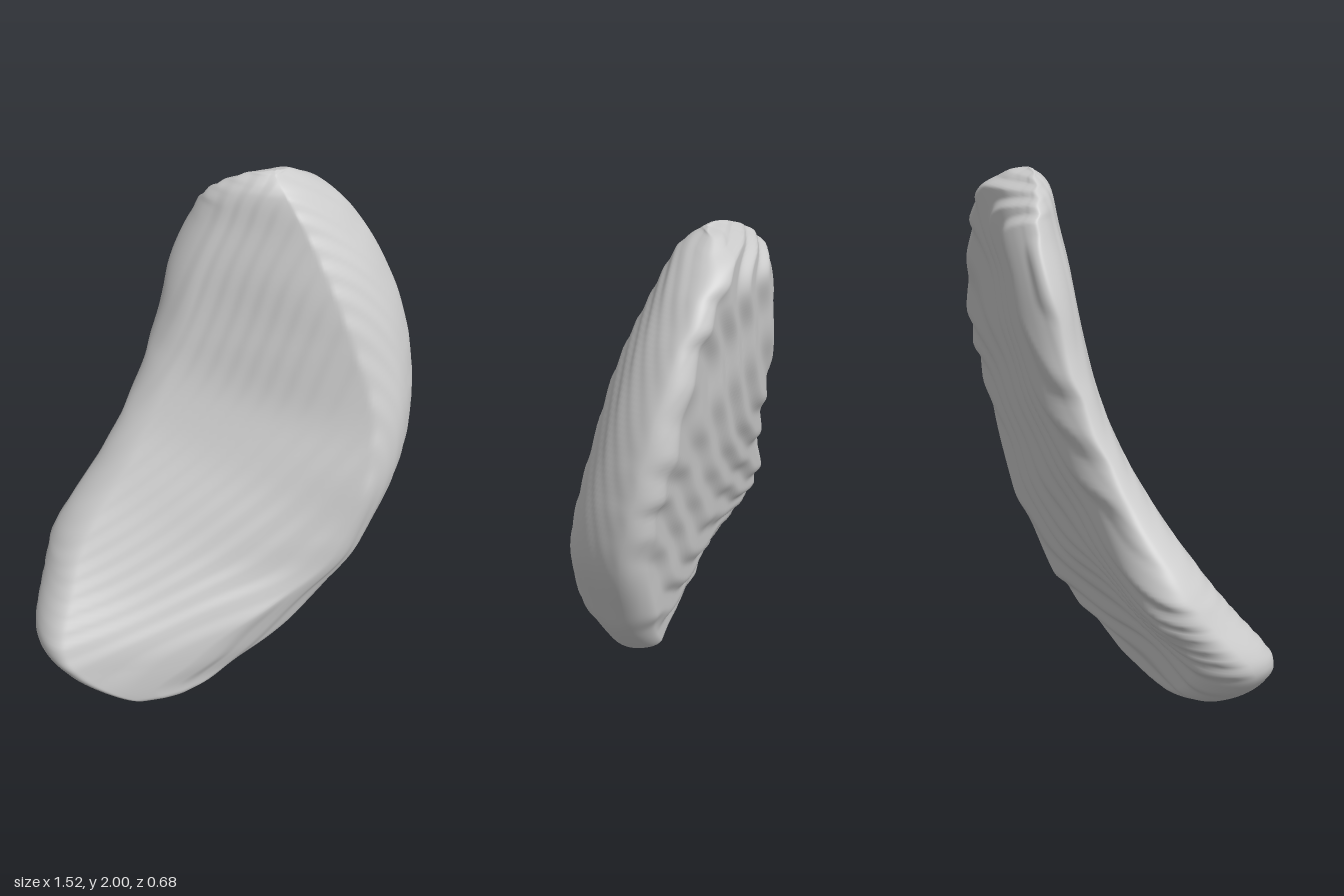
import * as THREE from 'three';
import { mergeVertices } from 'three/addons/utils/BufferGeometryUtils.js';

// Horizontal sections: y, left x, right x, back z at left / right,
// front z at left, crest x, crest z, front z at right
const SECTIONS = [
  [0.00, -0.27, -0.25, 0.13, 0.13, 0.31, -0.26, 0.32, 0.31],
  [0.02, -0.42, -0.13, 0.09, 0.12, 0.32, -0.30, 0.335, 0.29],
  [0.10, -0.58, 0.04, 0.05, 0.08, 0.32, -0.35, 0.337, 0.25],
  [0.20, -0.70, 0.23, 0.02, 0.05, 0.30, -0.22, 0.337, 0.22],
  [0.32, -0.76, 0.38, -0.03, 0.01, 0.25, -0.06, 0.33, 0.20],
  [0.50, -0.69, 0.53, -0.16, -0.01, 0.12, 0.28, 0.31, 0.18],
  [0.66, -0.61, 0.62, -0.23, -0.03, 0.01, 0.40, 0.305, 0.15],
  [0.90, -0.42, 0.72, -0.26, -0.05, -0.09, 0.49, 0.28, 0.12],
  [1.15, -0.27, 0.755, -0.295, -0.09, -0.15, 0.52, 0.22, 0.07],
  [1.40, -0.17, 0.73, -0.33, -0.14, -0.18, 0.46, 0.16, 0.02],
  [1.62, -0.11, 0.655, -0.355, -0.17, -0.20, 0.39, 0.09, -0.04],
  [1.80, -0.03, 0.55, -0.36, -0.225, -0.21, 0.32, 0.015, -0.11],
  [1.91, 0.03, 0.44, -0.30, -0.25, -0.20, 0.27, -0.04, -0.13],
  [1.98, 0.14, 0.32, -0.23, -0.22, -0.16, 0.24, -0.09, -0.13],
  [2.00, 0.23, 0.25, -0.19, -0.19, -0.11, 0.24, -0.10, -0.11],
];
const LAYER = 0.0375;

// Catmull-Rom blend of the section rows
function sectionAt(t) {
  const last = SECTIONS.length - 1;
  const i = Math.min(Math.floor(t), last - 1), f = t - i;
  const row = (k) => SECTIONS[Math.max(0, Math.min(last, k))];
  const [a, b, c, d] = [row(i - 1), row(i), row(i + 1), row(i + 2)];
  return b.map((p, k) => {
    const m0 = (c[k] - a[k]) / 2, m1 = (d[k] - p) / 2, e = c[k] - p;
    return p + f * (m0 + f * (3 * e - 2 * m0 - m1 + f * (m0 + m1 - 2 * e)));
  });
}

// Flat layers joined by short soft steps
function terrace(z, amount) {
  const u = z / LAYER, n = Math.floor(u);
  const stepped = (n + THREE.MathUtils.smoothstep(u - n, 0.25, 0.75)) * LAYER;
  return THREE.MathUtils.lerp(z, stepped, amount);
}

// Gentle unevenness that makes the layer edges wander
const waver = (x, y) =>
  0.008 * Math.sin(6 * x + 3 * y + 1) + 0.005 * Math.sin(11 * x - 6 * y) + 0.002 * Math.sin(19 * y + 9 * x);

const roundOff = (d) => Math.sqrt(1 - (1 - Math.min(Math.max(d, 0), 1)) ** 2);

// Sloping face up to the crest, then a curved bevel down to the right edge
function frontZ(x, [, xl, xr, , , fl, cx, cz, fr]) {
  if (x < cx) {
    const u = (x - xl) / (cx - xl);
    return THREE.MathUtils.lerp(fl, cz, 0.7 * u + 0.3 * Math.sin(u * Math.PI / 2));
  }
  return THREE.MathUtils.lerp(cz, fr, Math.pow((x - cx) / (xr - cx), 1.6));
}

// Back slopes fastest in the middle and levels out towards both edges
const backZ = (s, [, , , bl, br]) =>
  THREE.MathUtils.lerp(bl, br, 0.4 * s + 0.6 * THREE.MathUtils.smoothstep(s, 0, 1));

function shellGeometry() {
  const rows = (SECTIONS.length - 1) * 12, across = 100, ring = across * 2;
  const positions = [], indices = [];
  for (let i = 0; i <= rows; i++) {
    const sec = sectionAt(i / 12);
    const [y, xl, xr] = sec;
    const endRound = roundOff(Math.min(y / 0.06, (2 - y) / 0.07));
    for (let j = 0; j < ring; j++) {
      const isFront = j <= across;
      const s = (1 - Math.cos(Math.PI * j / across)) / 2;
      const x = xl + (xr - xl) * s;
      const w = waver(x, y);
      const zf = terrace(frontZ(x, sec) + w * 0.5, 0.25);
      const zb = terrace(backZ(s, sec) + w, 0.9);
      // the back has a broad round on the left and a tight one on the right
      const [leftRound, rightRound] = isFront ? [0.08, 0.12] : [0.18, 0.07];
      const k = endRound * roundOff((x - xl) / leftRound) * roundOff((xr - x) / rightRound);
      const mid = (zf + zb) / 2;
      positions.push(x, y, mid + ((isFront ? zf : zb) - mid) * k);
      if (i < rows) {
        const a = i * ring + j, b = i * ring + (j + 1) % ring;
        indices.push(a, b, b + ring, a, b + ring, a + ring);
      }
    }
  }
  let geometry = new THREE.BufferGeometry();
  geometry.setAttribute('position', new THREE.Float32BufferAttribute(positions, 3));
  geometry.setIndex(indices);
  geometry = mergeVertices(geometry, 1e-5);
  geometry.computeVertexNormals();
  return geometry;
}

export function createModel() {
  const group = new THREE.Group();
  group.name = 'layeredRock';
  const material = new THREE.MeshStandardMaterial({ color: 0xcccccc });
  const slab = new THREE.Mesh(shellGeometry(), material);
  slab.name = 'rockSlab';
  group.add(slab);
  return group;
}
